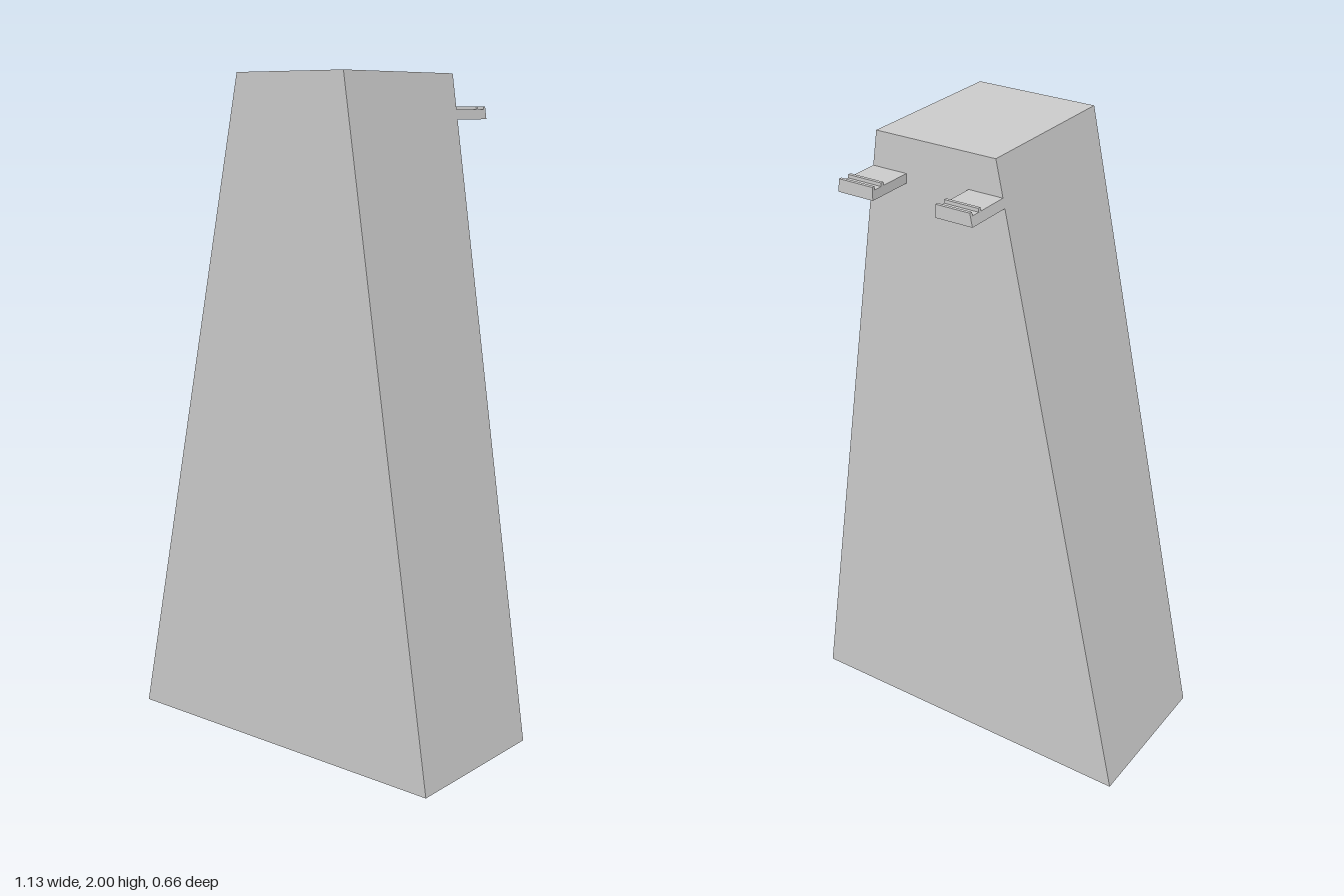
import * as THREE from 'three';

const material = new THREE.MeshStandardMaterial({ color: 0xcccccc, flatShading: true });
const BACK = -0.177, FRONT = 0.327;

// Sloping sides of the body: x at a given height
const rightEdge = (y) => THREE.MathUtils.lerp(-0.563, -0.127, y / 2);
const leftEdge = (y) => THREE.MathUtils.lerp(0.563, 0.264, y / 2);

function extrude(points, depth) {
  const shape = new THREE.Shape(points.map(([x, y]) => new THREE.Vector2(x, y)));
  return new THREE.ExtrudeGeometry(shape, { depth, bevelEnabled: false });
}

// Lug with two low ridges on top; its outer end follows the body's slope
function createLug(name, innerX, edge) {
  const base = 1.868, top = 1.896, ridge = 1.906;
  const profile = [
    [-BACK, base], [0.328, base], [0.328, ridge], [0.318, ridge], [0.318, top],
    [0.29, top], [0.29, ridge], [0.28, ridge], [0.28, top], [-BACK, top],
  ];
  const geometry = extrude(profile, 1).rotateY(Math.PI / 2);
  const outerIsLeft = edge === leftEdge;
  const p = geometry.attributes.position;
  for (let i = 0; i < p.count; i++) {
    const atLeftEnd = p.getX(i) > 0.5;
    p.setX(i, atLeftEnd === outerIsLeft ? edge(p.getY(i)) : innerX);
  }
  geometry.computeVertexNormals();
  const mesh = new THREE.Mesh(geometry, material);
  mesh.name = name;
  return mesh;
}

export function createModel() {
  const model = new THREE.Group();
  model.name = 'taperedBlock';

  // Lopsided tapered body
  const outline = [[rightEdge(0), 0], [leftEdge(0), 0], [leftEdge(2), 2], [rightEdge(2), 2]];
  const body = new THREE.Mesh(extrude(outline, FRONT - BACK), material);
  body.position.z = BACK;
  body.name = 'body';
  model.add(body);

  // Pair of lugs on the back
  model.add(createLug('rightLug', -0.04, rightEdge), createLug('leftLug', 0.166, leftEdge));
  return model;
}
